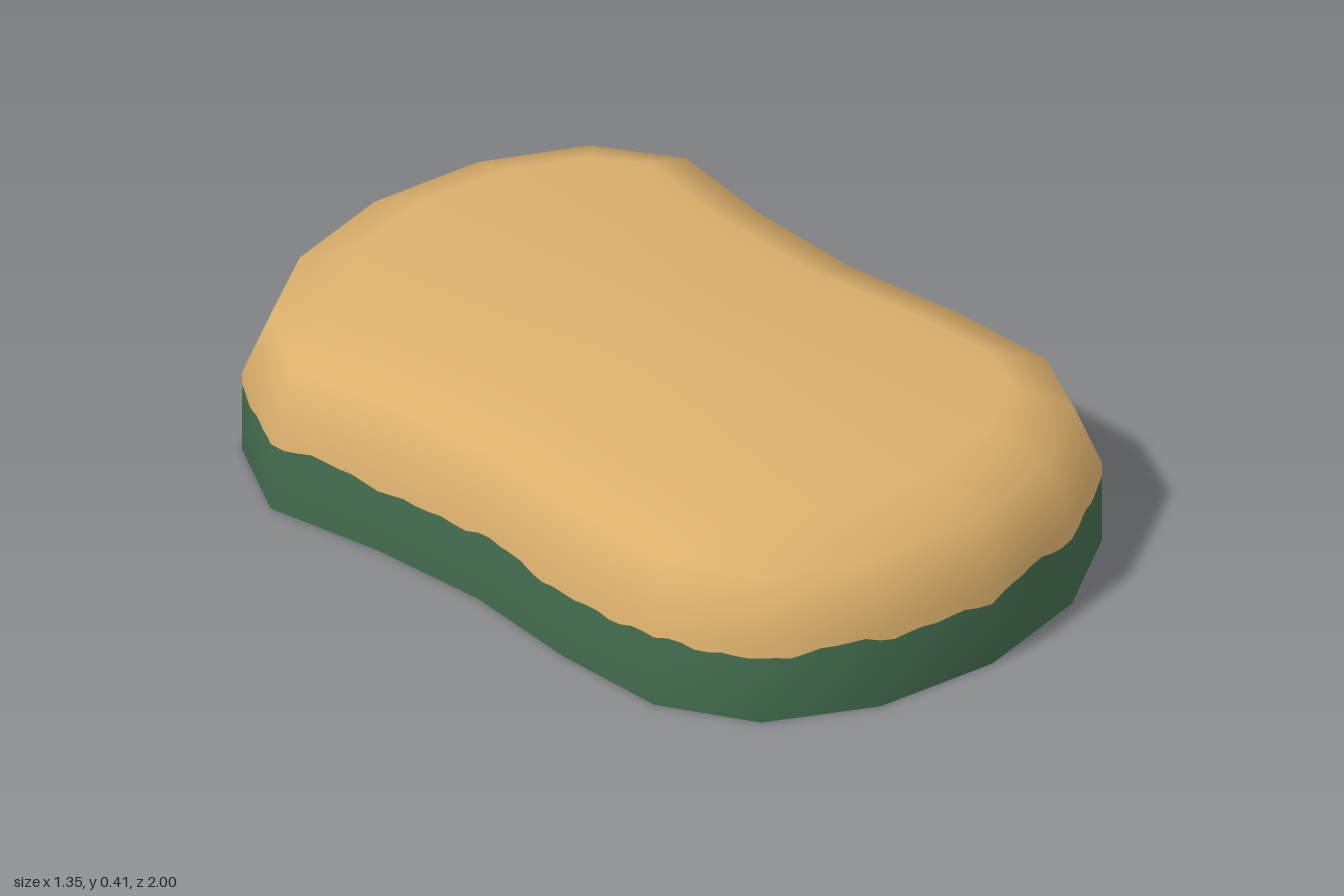
import * as THREE from 'three';

const tan = new THREE.MeshStandardMaterial({ color: 0xdcb06c, side: THREE.DoubleSide });
tan.name = 'warm tan';
const green = new THREE.MeshStandardMaterial({ color: 0x416a4c, side: THREE.DoubleSide });
green.name = 'dark green';

// Half outline (x, z) from the back to the front, with a narrow waist
const half = [
  [0, -1], [0.3, -0.95], [0.545, -0.81], [0.675, -0.59], [0.63, -0.3], [0.615, 0],
  [0.65, 0.3], [0.65, 0.585], [0.535, 0.805], [0.3, 0.945], [0, 0.995],
];
const outline = [...half, ...half.slice(1, -1).reverse().map(([x, z]) => [-x, z])]
  .map(([x, z]) => new THREE.Vector2(x, z));
const COUNT = outline.length;
const STEPS = 8; // columns per side, fine enough for the ragged seam

// Outward direction at each corner: average of its two edge normals
const outward = outline.map((p, i) => {
  const edgeNormal = (a, b) => new THREE.Vector2(b.y - a.y, a.x - b.x).normalize();
  const before = edgeNormal(outline[(i + COUNT - 1) % COUNT], p);
  const after = edgeNormal(p, outline[(i + 1) % COUNT]);
  return before.add(after).normalize();
});

// Ragged colour line around the wall
function seamHeight(j) {
  const a = (j / (COUNT * STEPS)) * Math.PI * 2;
  return 0.168 + 0.007 * Math.sin(a * 11 + 0.6) + 0.005 * Math.sin(a * 23 + 2)
    + 0.004 * Math.sin(a * 47 + 1);
}

// Rings: height (number or function), inset from the outline, tilt of the normal in degrees
const bottom = { y: 0, inset: 0, tilt: 0 };
const seam = { y: seamHeight, inset: 0, tilt: 9 };
const shoulder = { y: 0.2, inset: 0, tilt: 11 };
const bevel = { y: 0.345, inset: 0.06, tilt: 45 };
const rim = { y: 0.405, inset: 0.2, tilt: 80 };

// Smooth skin through a stack of rings, with an optional flat cap
function skin(rings, capped) {
  const positions = [], normals = [], index = [];
  const columns = COUNT * STEPS;
  for (const ring of rings) {
    const tilt = THREE.MathUtils.degToRad(ring.tilt);
    for (let j = 0; j < columns; j++) {
      const i = Math.floor(j / STEPS), next = (i + 1) % COUNT, t = (j % STEPS) / STEPS;
      const corner = (k) => outline[k].clone().addScaledVector(outward[k], -ring.inset);
      const p = corner(i).lerp(corner(next), t);
      const n = outward[i].clone().lerp(outward[next], t).normalize();
      positions.push(p.x, typeof ring.y === 'function' ? ring.y(j) : ring.y, p.y);
      normals.push(n.x * Math.cos(tilt), Math.sin(tilt), n.y * Math.cos(tilt));
    }
  }
  for (let r = 0; r < rings.length - 1; r++) {
    for (let j = 0; j < columns; j++) {
      const a = r * columns + j, b = r * columns + (j + 1) % columns;
      index.push(a, a + columns, b, b, a + columns, b + columns);
    }
  }
  if (capped) {
    const centre = positions.length / 3, start = (rings.length - 1) * columns;
    positions.push(0, rings[rings.length - 1].y, 0);
    normals.push(0, 1, 0);
    for (let j = 0; j < columns; j++) index.push(start + j, centre, start + (j + 1) % columns);
  }
  const geometry = new THREE.BufferGeometry();
  geometry.setAttribute('position', new THREE.Float32BufferAttribute(positions, 3));
  geometry.setAttribute('normal', new THREE.Float32BufferAttribute(normals, 3));
  geometry.setIndex(index);
  return geometry;
}

export function createModel() {
  const group = new THREE.Group();
  group.name = 'hollowShell';

  // Green band around the open underside
  const band = new THREE.Mesh(skin([bottom, seam], false), green);
  band.name = 'lowerBand';

  // Rounded tan top
  const top = new THREE.Mesh(skin([seam, shoulder, bevel, rim], true), tan);
  top.name = 'roundedTop';

  group.add(band, top);
  return group;
}
